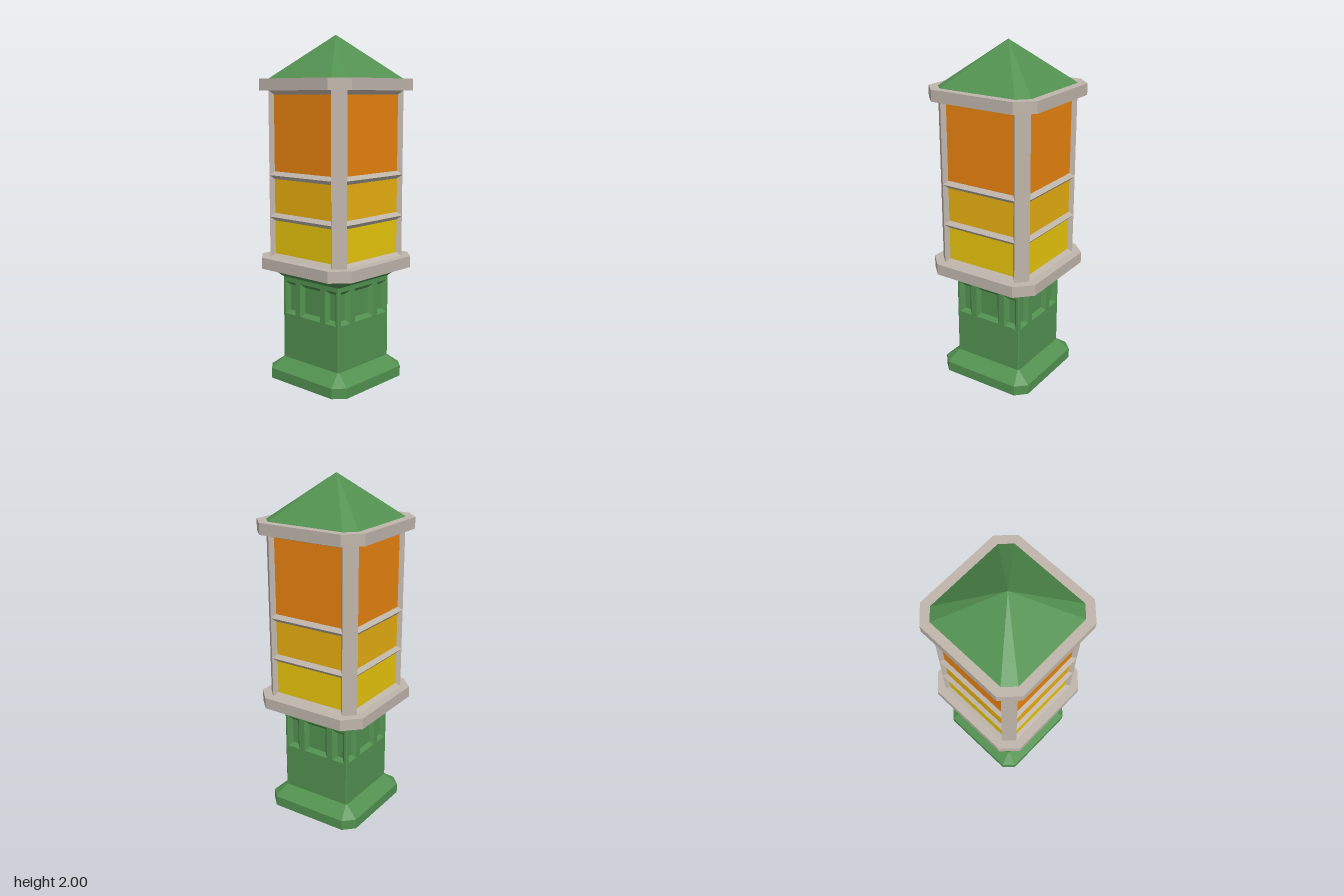
import * as THREE from 'three';

// Non-indexed geometry from quads of Vector3, giving flat faces
function fromQuads(quads) {
  const p = [];
  for (const [a, b, c, d] of quads) for (const v of [a, b, c, a, c, d]) p.push(v.x, v.y, v.z);
  const g = new THREE.BufferGeometry();
  g.setAttribute('position', new THREE.Float32BufferAttribute(p, 3));
  g.computeVertexNormals();
  return g;
}

// Square with cut corners: half width h, straight sides reach c
function ring([y, h, c]) {
  return [[c, h], [h, c], [h, -c], [c, -h], [-c, -h], [-h, -c], [-h, c], [-c, h]]
    .map(([x, z]) => new THREE.Vector3(x, y, z));
}

// Stack of rings; cornersOnly keeps just the cut corners
function loft(levels, { cornersOnly = false, caps = false } = {}) {
  const rings = levels.map(ring), quads = [];
  for (let k = 0; k < rings.length - 1; k++) {
    const lo = rings[k], up = rings[k + 1];
    for (let i = 0; i < 8; i += cornersOnly ? 2 : 1) {
      const j = (i + 1) % 8;
      quads.push([lo[i], lo[j], up[j], up[i]]);
    }
  }
  if (caps) {
    const b = rings[0], t = rings[rings.length - 1];
    for (let i = 1; i < 7; i += 2) {
      quads.push([t[0], t[i], t[i + 1], t[(i + 2) % 8]]);
      quads.push([b[0], b[(i + 2) % 8], b[i + 1], b[i]]);
    }
  }
  return fromQuads(quads);
}

const rect = (x0, x1, y0, y1, z) =>
  [[x0, y0], [x1, y0], [x1, y1], [x0, y1]].map(([x, y]) => new THREE.Vector3(x, y, z));

const BEVEL = 0.022;

// Sloped rim and back plate of a recess in a wall at z
function recess([x0, x1, y0, y1], z) {
  const o = rect(x0, x1, y0, y1, z);
  const n = rect(x0 + BEVEL, x1 - BEVEL, y0 + BEVEL, y1 - BEVEL, z - BEVEL);
  return {
    rim: fromQuads([0, 1, 2, 3].map(i => [o[i], o[(i + 1) % 4], n[(i + 1) % 4], n[i]])),
    back: fromQuads([n]),
  };
}

export function createModel() {
  const mat = (name, color, side = THREE.FrontSide) => {
    const m = new THREE.MeshStandardMaterial({ color, side });
    m.name = name;
    return m;
  };
  const green = mat('green paint', 0x529150, THREE.DoubleSide);
  const grey = mat('grey frame', 0xbfb5ab, THREE.DoubleSide);
  const orange = mat('orange glass', 0xfd8f12);
  const amber = mat('amber glass', 0xfdbf13);
  const yellow = mat('yellow glass', 0xfdd70e);

  const model = new THREE.Group();
  model.name = 'lanternTower';
  const add = (parent, name, geometry, material) => {
    const m = new THREE.Mesh(geometry, material);
    m.name = name;
    parent.add(m);
  };

  // Hollow foot, column corners, flared neck and roof
  add(model, 'foot', loft([[0, 0.3, 0.24], [0.06, 0.3, 0.24], [0.12, 0.22, 0.214]]), green);
  add(model, 'columnCorners', loft([[0.12, 0.22, 0.214], [0.61, 0.22, 0.214]], { cornersOnly: true }), green);
  add(model, 'neck', loft([[0.61, 0.22, 0.214], [0.67, 0.3, 0.24]]), green);
  add(model, 'roof', loft([[1.755, 0.3, 0.24], [2, 0, 0]]), green);

  // Grey trays and corner posts
  add(model, 'lowerTray', loft([[0.67, 0.35, 0.26], [0.735, 0.35, 0.26]], { caps: true }), grey);
  add(model, 'upperTray', loft([[1.69, 0.35, 0.26], [1.755, 0.35, 0.26]], { caps: true }), grey);
  add(model, 'cornerPosts', loft([[0.735, 0.3, 0.24], [1.69, 0.3, 0.24]], { cornersOnly: true }), grey);

  // Column wall with three recessed panels
  const niches = [[-0.2, -0.118], [-0.08, 0.08], [0.118, 0.2]].map(([a, b]) => [a, b, 0.388, 0.584]);
  const outline = r => rect(...r, 0).map(v => new THREE.Vector2(v.x, v.y));
  const wall = new THREE.Shape(outline([-0.214, 0.214, 0.12, 0.61]));
  for (const n of niches) wall.holes.push(new THREE.Path(outline(n)));
  const wallGeometry = new THREE.ShapeGeometry(wall).translate(0, 0, 0.22);

  // Glass bays; neighbouring rims meet as the ridged crossbars
  const bays = [['lower', 0.735, 0.972, yellow], ['middle', 0.972, 1.212, amber], ['upper', 1.212, 1.69, orange]];

  // The four identical sides
  ['front', 'left', 'back', 'right'].forEach((name, i) => {
    const side = new THREE.Group();
    side.name = name + 'Side';
    side.rotation.y = i * Math.PI / 2;
    add(side, 'columnWall', wallGeometry, green);
    for (const n of niches) {
      const { rim, back } = recess(n, 0.22);
      add(side, 'nicheRim', rim, green);
      add(side, 'nicheBack', back, green);
    }
    for (const [bay, y0, y1, glass] of bays) {
      const { rim, back } = recess([-0.24, 0.24, y0, y1], 0.3);
      add(side, bay + 'WindowRim', rim, grey);
      add(side, bay + 'WindowGlass', back, glass);
    }
    model.add(side);
  });
  return model;
}
